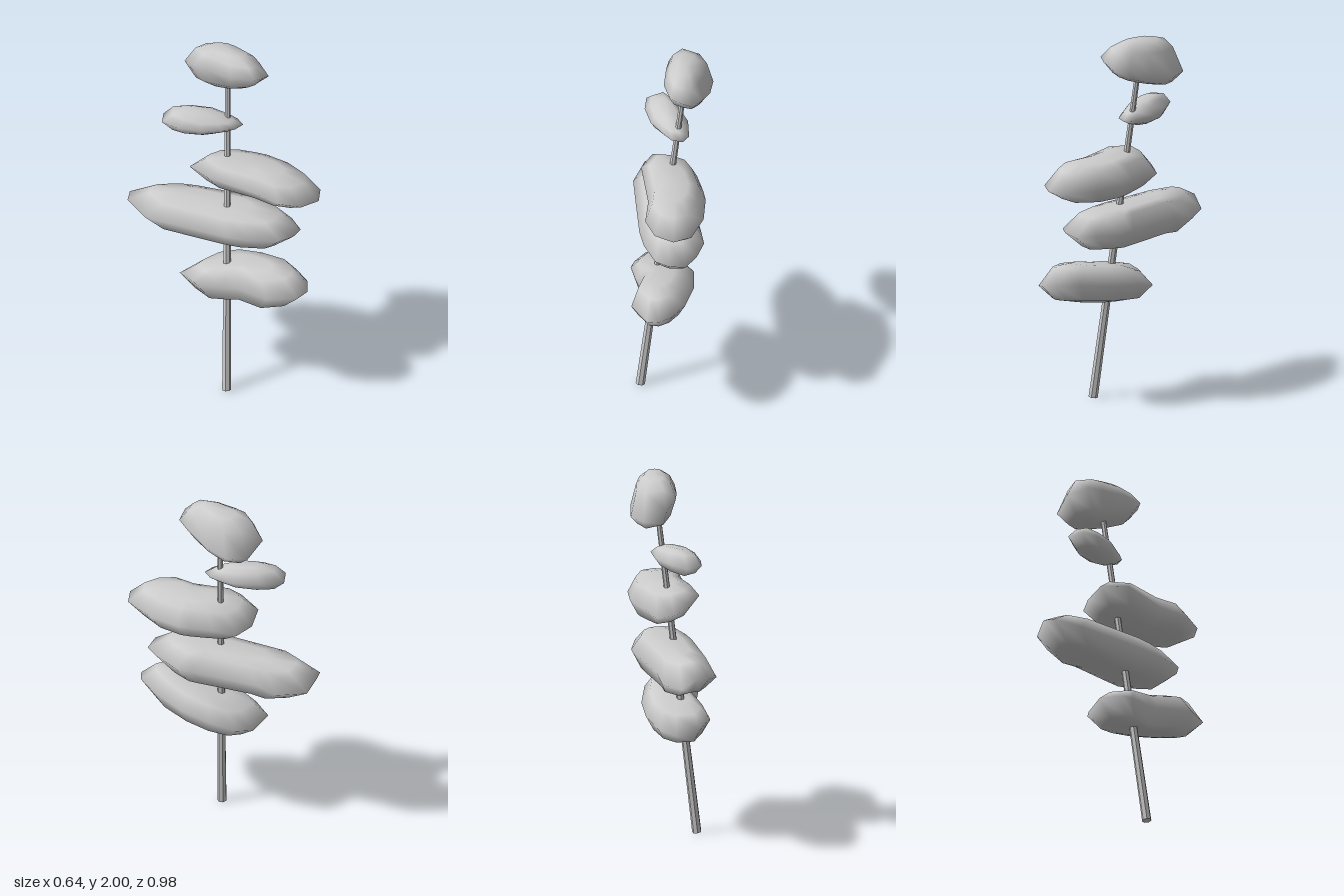
import * as THREE from 'three';

const grey = new THREE.MeshStandardMaterial({ color: 0xcccccc });
const facetedGrey = new THREE.MeshStandardMaterial({ color: 0xcccccc, flatShading: true });

// Flattened foliage pad: a plan outline of [x, z, rim lift] shrunk in rings towards a top and a bottom pole.
// y is the mid height; rim, top and bottom are slopes along x and z; up and down the thickness;
// shoulder the share of the thickness reached three quarters of the way out.
function foliagePad(name, { y, rim, top, bottom, up, down, shoulder, outline }) {
  const n = outline.length;
  const cx = outline.reduce((sum, p) => sum + p[0], 0) / n;
  const cz = outline.reduce((sum, p) => sum + p[1], 0) / n;
  const rings = [
    [0.42, -0.98 * down, bottom], [0.75, -shoulder * down, bottom], [1, 0, rim],
    [0.76, shoulder * up, top], [0.43, 0.98 * up, top],
  ];

  const positions = [cx, y - down, cz];
  for (const [scale, h, slope] of rings) {
    for (const [px, pz, lift] of outline) {
      const dx = (px - cx) * scale;
      const dz = (pz - cz) * scale;
      positions.push(cx + dx, y + dx * slope[0] + dz * slope[1] + h + lift * scale ** 4, cz + dz);
    }
  }
  positions.push(cx, y + up, cz);

  const index = [];
  const topPole = 1 + rings.length * n;
  for (let j = 0; j < n; j++) {
    const k = (j + 1) % n;
    index.push(0, 1 + k, 1 + j);
    for (let r = 0; r < rings.length - 1; r++) {
      const a = 1 + r * n + j;
      const b = 1 + r * n + k;
      index.push(a, b, a + n, b, b + n, a + n);
    }
    index.push(topPole - n + j, topPole - n + k, topPole);
  }

  const geometry = new THREE.BufferGeometry();
  geometry.setAttribute('position', new THREE.Float32BufferAttribute(positions, 3));
  geometry.setIndex(index);
  geometry.computeVertexNormals();
  const mesh = new THREE.Mesh(geometry, grey);
  mesh.name = name;
  return mesh;
}

// Outlines run counterclockwise as seen from above
const pads = {
  lowestFoliage: {
    y: 0.677, rim: [0.1, 0.1], top: [0.12, 0.15], bottom: [0.1, 0.1], up: 0.093, down: 0.11, shoulder: 0.8,
    outline: [[0.1, 0.485, -0.02], [0.17, 0.485, -0.01], [0.22, 0.42, 0], [0.24, 0.3, 0.01], [0.2, 0.1, 0],
      [0.13, -0.06, 0], [0.03, -0.16, -0.02], [-0.07, -0.18, -0.03], [-0.19, -0.15, 0.01], [-0.2, -0.03, 0.02],
      [-0.2, 0.02, 0.01], [-0.12, 0.13, 0], [-0.07, 0.19, 0], [-0.03, 0.39, 0]],
  },
  lowerFoliage: {
    y: 0.982, rim: [0, 0.02], top: [0.02, 0], bottom: [-0.02, 0.02], up: 0.1, down: 0.098, shoulder: 0.85,
    outline: [[0.09, 0.35, 0.01], [0.17, 0.36, 0.01], [0.25, 0.32, 0], [0.27, 0.22, 0.01], [0.25, 0.08, 0],
      [0.2, 0, 0], [0.1, -0.15, 0], [0, -0.3, 0], [-0.06, -0.4, -0.03], [-0.19, -0.49, -0.02],
      [-0.27, -0.475, 0.04], [-0.32, -0.43, 0.03], [-0.32, -0.28, 0], [-0.2, -0.055, 0], [-0.1, 0.13, 0],
      [-0.03, 0.23, 0]],
  },
  middleFoliage: {
    y: 1.275, rim: [-0.1, 0.03], top: [-0.05, 0], bottom: [-0.2, 0.08], up: 0.1, down: 0.085, shoulder: 0.8,
    outline: [[0.14, 0.465, -0.02], [0.25, 0.475, -0.01], [0.32, 0.4, 0], [0.31, 0.22, 0], [0.25, 0.06, 0],
      [0.21, 0, 0], [0.13, -0.1, 0], [0.04, -0.18, -0.03], [-0.06, -0.18, -0.02], [-0.14, -0.13, 0.02],
      [-0.14, 0.02, 0.03], [0, 0.24, 0], [0.05, 0.39, -0.01]],
  },
  upperFoliage: {
    y: 1.565, rim: [-0.02, 0], top: [0, -0.13], bottom: [0, 0.1], up: 0.062, down: 0.06, shoulder: 0.63,
    outline: [[0.04, 0.03, 0], [0.1, 0.02, 0], [0.11, -0.04, 0], [0.05, -0.16, 0], [-0.06, -0.26, 0],
      [-0.17, -0.315, -0.005], [-0.23, -0.25, 0], [-0.2, -0.16, 0], [-0.12, -0.06, 0], [-0.02, 0, 0]],
  },
  crownFoliage: {
    y: 1.88, rim: [-0.05, 0.2], top: [-0.03, 0.05], bottom: [-0.03, 0.26], up: 0.118, down: 0.105, shoulder: 0.7,
    outline: [[0.08, 0.14, 0], [0.14, 0.14, -0.01], [0.2, 0.11, -0.03], [0.215, 0.02, -0.02], [0.2, -0.11, -0.04],
      [0.16, -0.24, -0.04], [0.07, -0.315, -0.03], [-0.05, -0.29, 0.02], [-0.07, -0.18, 0.04],
      [-0.05, -0.1, 0.03], [0, 0.04, 0.01]],
  },
};

export function createModel() {
  const tree = new THREE.Group();
  tree.name = 'tree';

  // Leaning tapered trunk
  const base = new THREE.Vector3(-0.095, 0.003, 0.13);
  const tip = new THREE.Vector3(0.069, 1.86, -0.073);
  const lean = tip.clone().sub(base);
  const trunk = new THREE.Mesh(new THREE.CylinderGeometry(0.014, 0.025, lean.length(), 7), facetedGrey);
  trunk.name = 'trunk';
  trunk.position.copy(base).add(tip).multiplyScalar(0.5);
  trunk.quaternion.setFromUnitVectors(new THREE.Vector3(0, 1, 0), lean.normalize());
  tree.add(trunk);

  for (const [name, pad] of Object.entries(pads)) tree.add(foliagePad(name, pad));
  return tree;
}
